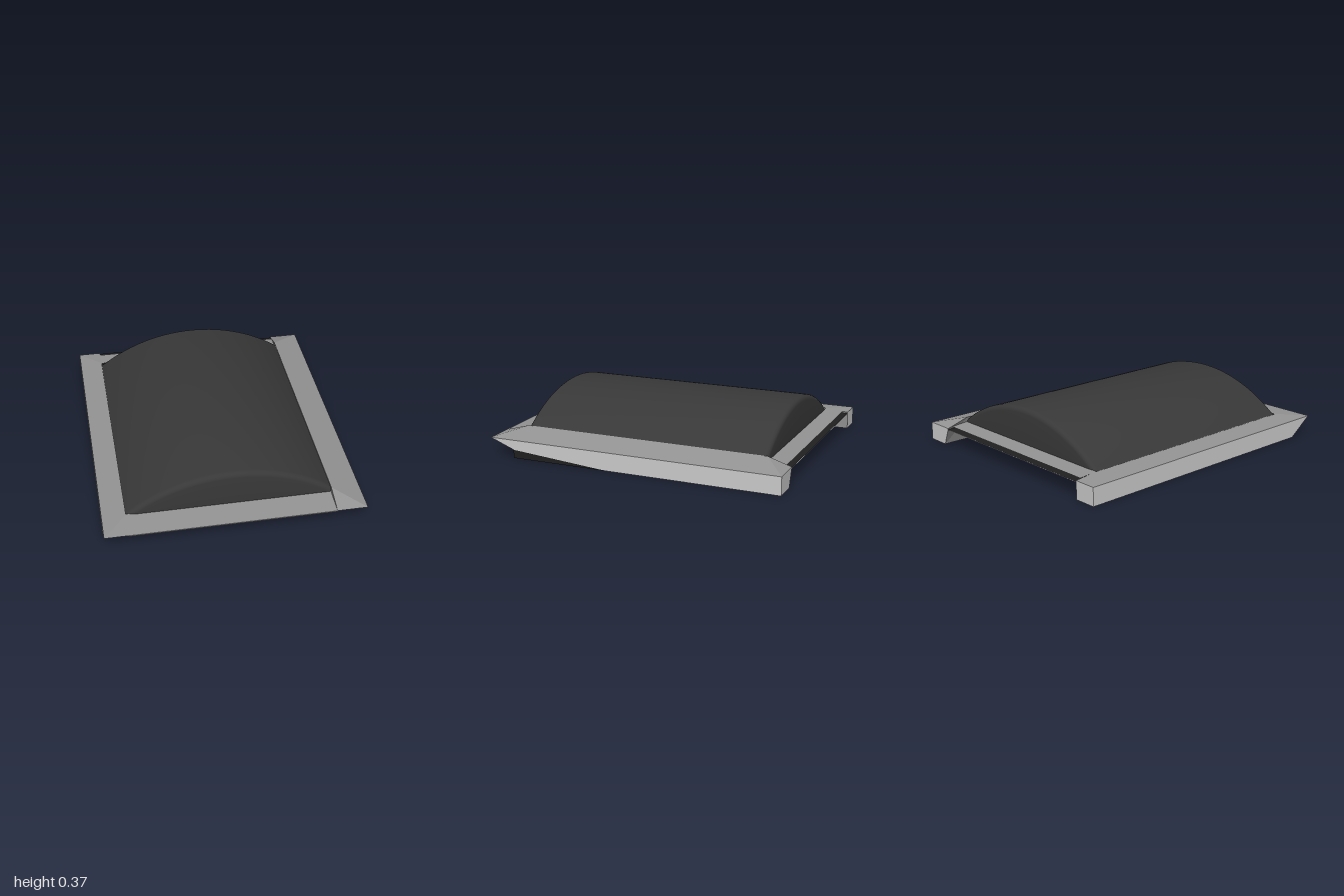
import * as THREE from 'three';
import { toCreasedNormals } from 'three/addons/utils/BufferGeometryUtils.js';

const material = (color) => new THREE.MeshStandardMaterial({ color, side: THREE.DoubleSide });
const grey = material(0xcccccc);
const midGrey = material(0x949494);
const pale = material(0xffffff);
const charcoal = material(0x383838);
const black = material(0x202020);

// Flat-faced mesh from polygons, each cut into a fan from its first corner
function panels(name, polygons, surface) {
  const points = [];
  for (const p of polygons) {
    for (let i = 1; i < p.length - 1; i++) points.push(...p[0], ...p[i], ...p[i + 1]);
  }
  const geometry = new THREE.BufferGeometry();
  geometry.setAttribute('position', new THREE.Float32BufferAttribute(points, 3));
  geometry.computeVertexNormals();
  const mesh = new THREE.Mesh(geometry, surface);
  mesh.name = name;
  return mesh;
}

// Side rail with mitred, sloping top and undercut front; lift raises the front lip over a dark recess
function rail(name, { outer, inner, top, foot, lift }) {
  const group = new THREE.Group();
  group.name = name;
  const a = [outer, 0.12, 1], b = [outer, 0.12, -1];
  const c = [inner, top, 0.83], d = [inner, top, -0.845];
  const e = [inner, 0.12, 1], f = [inner, 0.12, -1];
  const g = [outer, 0, 0.83], h = [outer, 0, -1];
  const i = [foot, 0, 0.83], j = [foot, 0, -1];
  const gUp = [outer, lift, 0.83], iUp = [foot, lift, 0.83];
  const recessEnd = lift ? 0.15 : 0.83;
  const gw = [outer, 0, recessEnd], iw = [foot, 0, recessEnd];
  group.add(
    panels(name + 'Top', [[a, b, d, c], [a, c, e], [b, f, d]], midGrey),
    panels(name + 'InnerWall', [lift ? [d, f, j, i, iUp, e, c] : [d, f, j, i, e, c]], midGrey),
    panels(name + 'Sides', [lift ? [b, h, gw, gUp, a] : [b, h, g, a], [b, h, j, f]], grey),
    panels(name + 'Underside', [[gw, iw, j, h], [a, e, iUp, gUp]], pale),
  );
  if (lift) {
    group.add(panels(name + 'Recess', [[gUp, g, gw], [gUp, iUp, i, g], [g, i, iw, gw]], black));
  }
  return group;
}

// Arched dome: one arc repeated along z, lowered at both ends to round them off
function dome() {
  const radius = 1.07, base = 0.115, round = 0.035, steps = 4;
  const ends = [[0, 1]];
  for (let k = 0; k <= steps; k++) {
    const t = (k / steps) * Math.PI / 2;
    ends.push([round * (1 - Math.cos(t)), round * (1 - Math.sin(t))]);
  }
  const rows = [
    ...ends.map(([inset, drop]) => [-0.845 + inset, drop]),
    ...ends.map(([inset, drop]) => [0.83 - inset, drop]).reverse(),
  ];
  const columns = 36;
  const geometry = new THREE.PlaneGeometry(1, 1, columns, rows.length - 1);
  const position = geometry.attributes.position;
  for (let n = 0; n < position.count; n++) {
    const [z, drop] = rows[Math.floor(n / (columns + 1))];
    const x = THREE.MathUtils.lerp(-0.688, 0.655, (n % (columns + 1)) / columns);
    const arc = 0.37 - radius + Math.sqrt(radius * radius - x * x);
    position.setXYZ(n, x, Math.max(base, arc - drop), z);
  }
  const mesh = new THREE.Mesh(toCreasedNormals(geometry, 0.6), charcoal);
  mesh.name = 'dome';
  return mesh;
}

export function createModel() {
  const model = new THREE.Group();
  model.name = 'domedPanel';

  // Rails: the +x one is taller on its inner edge
  model.add(rail('leftRail', { outer: 0.833, inner: 0.635, top: 0.168, foot: 0.68, lift: 0.055 }));
  model.add(rail('rightRail', { outer: -0.833, inner: -0.68, top: 0.135, foot: -0.685, lift: 0 }));

  // Thin deck between the rails
  const strip = (y1, z1, y2, z2, x0 = -0.68, x1 = 0.64) =>
    [[x0, y1, z1], [x1, y1, z1], [x1, y2, z2], [x0, y2, z2]];
  model.add(
    panels('frontSlope', [strip(0.12, 1, 0.135, 0.82), strip(0.12, 1, 0.113, 1)], midGrey),
    panels('frontUnderside', [strip(0.113, 0.999, 0.113, 0.82)], black),
    panels('backSlope', [strip(0.135, -0.84, 0.125, -0.965)], midGrey),
    panels('underside', [strip(0.11, 0.83, 0.11, -1, -0.683, 0.65)], pale),
    panels('undersideLining', [strip(0.113, 0.82, 0.113, -0.999)], black),
  );

  model.add(dome());
  return model;
}
